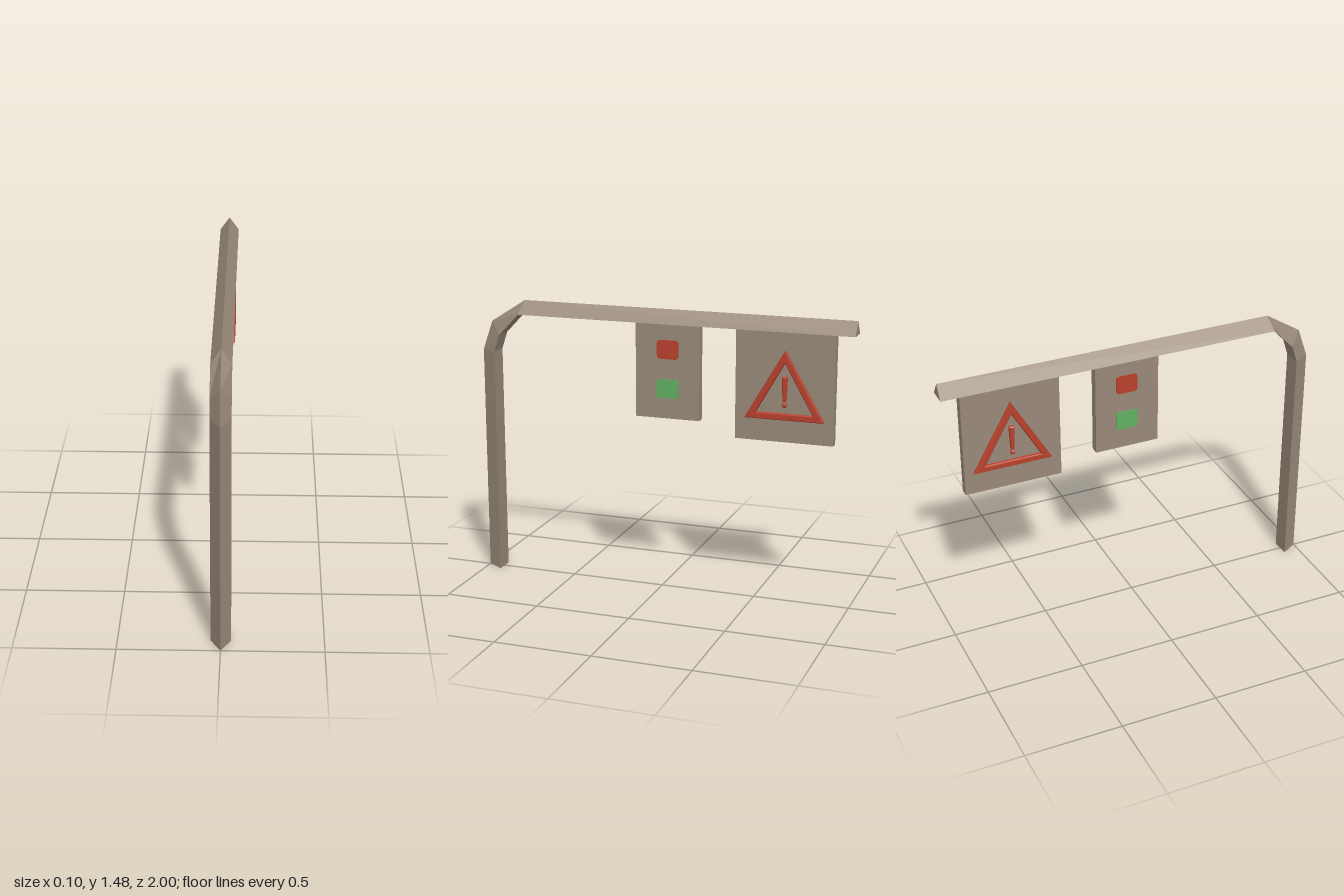
import * as THREE from 'three';

const flat = (name, color) => {
  const m = new THREE.MeshStandardMaterial({ color, flatShading: true });
  m.name = name;
  return m;
};

const polygon = (points) => new THREE.Shape(points.map(([x, y]) => new THREE.Vector2(x, y)));

function roundedRect(w, h, r) {
  const s = new THREE.Shape(), x = w / 2, y = h / 2;
  s.moveTo(-x + r, -y);
  s.lineTo(x - r, -y).quadraticCurveTo(x, -y, x, -y + r);
  s.lineTo(x, y - r).quadraticCurveTo(x, y, x - r, y);
  s.lineTo(-x + r, y).quadraticCurveTo(-x, y, -x, y - r);
  s.lineTo(-x, -y + r).quadraticCurveTo(-x, -y, -x + r, -y);
  return s;
}

// Triangular bar swept along the bend: each station is [outer z, outer y, inner z, inner y]
function barGeometry(stations, half) {
  const rings = stations.map(([zo, yo, zi, yi]) => [[0, yo, zo], [half, yi, zi], [-half, yi, zi]]);
  const pos = [];
  const tri = (a, b, c) => pos.push(...a, ...b, ...c);
  for (let i = 0; i < rings.length - 1; i++) {
    for (let k = 0; k < 3; k++) {
      const n = (k + 1) % 3, lo = rings[i], hi = rings[i + 1];
      tri(lo[k], lo[n], hi[n]);
      tri(lo[k], hi[n], hi[k]);
    }
  }
  const first = rings[0], last = rings[rings.length - 1];
  tri(first[0], first[2], first[1]);
  tri(last[0], last[1], last[2]);
  const g = new THREE.BufferGeometry();
  g.setAttribute('position', new THREE.Float32BufferAttribute(pos, 3));
  g.computeVertexNormals();
  return g;
}

export function createModel() {
  const model = new THREE.Group();
  model.name = 'gantrySign';
  const brown = flat('brown', 0x998a79);
  const red = flat('red', 0xb8402d);
  const green = flat('green', 0x60b062);
  const thick = 0.045;

  const add = (parent, name, geometry, material) => {
    const mesh = new THREE.Mesh(geometry, material);
    mesh.name = name;
    parent.add(mesh);
    return mesh;
  };

  // Post, bend and overhead arm in one bar
  add(model, 'postAndArm', barGeometry([
    [1, 0, 0.915, 0],
    [1, 1.2, 0.915, 1.2],
    [0.945, 1.355, 0.885, 1.29],
    [0.755, 1.475, 0.775, 1.405],
    [-1, 1.475, -1, 1.405],
  ], 0.05), brown);

  // Hanging panels
  const panel = (name, z0, z1, y0) => {
    const top = 1.41;
    const mesh = add(model, name, new THREE.BoxGeometry(thick, top - y0, z1 - z0), brown);
    mesh.position.set(0, (top + y0) / 2, (z0 + z1) / 2);
  };
  panel('lightPanel', -0.205, 0.135, 0.915);
  panel('warningPanel', -0.9, -0.395, 0.845);

  // Raised warning symbol
  const bevel = 0.006;
  const raised = { depth: 0.012, bevelEnabled: true, bevelThickness: bevel, bevelSize: bevel, bevelOffset: -bevel, bevelSegments: 1 };
  const frame = polygon([[-0.204, 0.96], [0.204, 0.96], [0, 1.312]]);
  frame.holes.push(polygon([[-0.145, 0.993], [0, 1.247], [0.145, 0.993]]));
  const symbol = {
    warningTriangle: frame,
    exclamationBar: polygon([[-0.009, 1.055], [0.009, 1.055], [0.014, 1.18], [-0.014, 1.18]]),
    exclamationDot: polygon([[-0.01, 1.025], [0.01, 1.025], [0.01, 1.046], [-0.01, 1.046]]),
  };

  // Both faces carry the same details
  for (const side of [1, -1]) {
    const face = new THREE.Group();
    face.name = side > 0 ? 'leftFace' : 'rightFace';
    face.position.x = side * thick / 2;
    face.rotation.y = side * Math.PI / 2;
    model.add(face);

    for (const [name, y, r, material] of [['redLight', 1.272, 0.02, red], ['greenLight', 1.07, 0.012, green]]) {
      const plate = new THREE.ExtrudeGeometry(roundedRect(0.115, 0.097, r), { depth: 0.005, bevelEnabled: false, curveSegments: 4 });
      add(face, name, plate, material).position.set(side * 0.037, y, 0);
    }
    for (const [name, shape] of Object.entries(symbol)) {
      const mesh = add(face, name, new THREE.ExtrudeGeometry(shape, raised), red);
      mesh.position.x = side * 0.65;
    }
  }
  return model;
}
